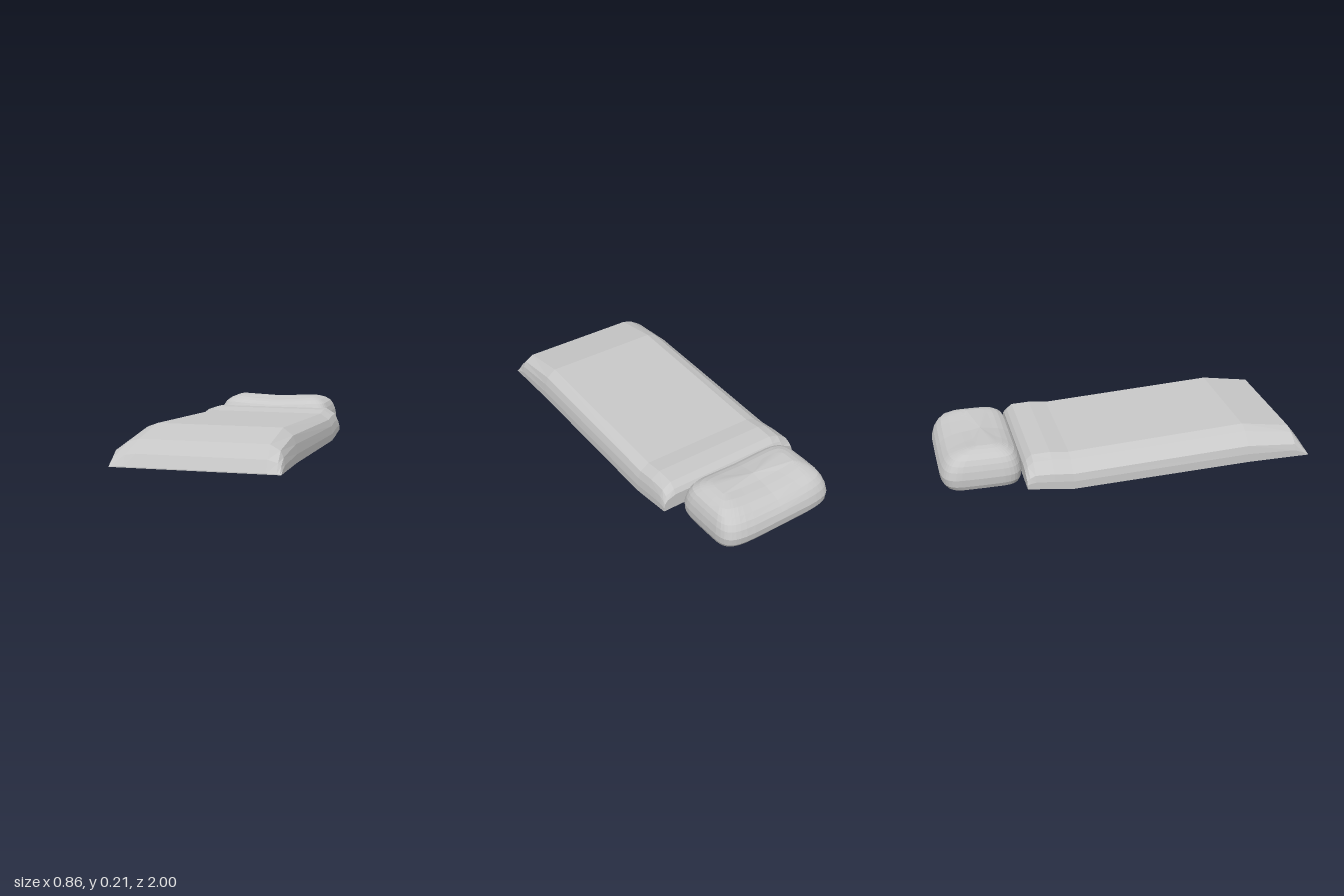
import * as THREE from 'three';

// Skin closed rings (clockwise about the direction of travel) and cap both ends; faceted normals
function loft(rings) {
  const n = rings[0].length, pos = [];
  const tri = (...pts) => pts.forEach(p => pos.push(...p));
  const centre = r => [0, 1, 2].map(k => r.reduce((s, p) => s + p[k], 0) / n);
  const first = rings[0], last = rings[rings.length - 1];
  const c0 = centre(first), c1 = centre(last);
  for (let j = 0; j < n; j++) {
    const k = (j + 1) % n;
    tri(c0, first[j], first[k]);
    tri(c1, last[k], last[j]);
    for (let i = 0; i < rings.length - 1; i++) {
      const a = rings[i], b = rings[i + 1];
      tri(a[j], b[j], a[k]);
      tri(a[k], b[j], b[k]);
    }
  }
  const g = new THREE.BufferGeometry();
  g.setAttribute('position', new THREE.Float32BufferAttribute(pos, 3));
  g.computeVertexNormals();
  return g;
}

export function createModel() {
  const group = new THREE.Group();
  const cloth = new THREE.MeshStandardMaterial({ color: 0xc8c8c8 });
  cloth.name = 'grey cloth';

  const add = (name, geometry) => {
    const mesh = new THREE.Mesh(geometry, cloth);
    mesh.name = name;
    group.add(mesh);
  };

  // Padded bedding: one bevelled section (x, height fraction) swept from foot to head
  const section = [
    [0.427, 0], [0.427, 0.25], [0.42, 0.53], [0.405, 0.78], [0.355, 1],
    [-0.3, 1], [-0.355, 0.88], [-0.42, 0.54], [-0.428, 0.28], [-0.428, 0],
  ];
  const stations = [ // z, top, bottom
    [1, 0.04, 0.035], [0.97, 0.1, 0.035], [0.92, 0.165, 0.035], [0.65, 0.207, 0.034],
    [-0.32, 0.155, 0], [-0.42, 0.167, 0.012], [-0.52, 0.163, 0.025],
    [-0.55, 0.135, 0.029], [-0.565, 0.11, 0.03],
  ];
  add('bedding', loft(stations.map(([z, top, bottom]) =>
    section.map(([x, t]) => [x, bottom + (top - bottom) * t, z]))));

  // Pillow: stacked rounded rectangles, fuller towards the front, with a gentle dip in the middle
  const layers = [ // y, inset
    [0.01, 0.05], [0.018, 0.02], [0.04, 0.005], [0.08, 0], [0.12, 0.012], [0.15, 0.03],
    [0.175, 0.055], [0.195, 0.1], [0.207, 0.15], [0.213, 0.2],
  ];
  const sides = 40;
  const power = v => Math.sign(v) * Math.abs(v) ** 0.36;
  add('pillow', loft(layers.map(([y, inset]) =>
    Array.from({ length: sides }, (_, j) => {
      const a = (j / sides) * Math.PI * 2;
      const c = power(Math.cos(a)), s = power(Math.sin(a));
      const x = c * (0.348 - inset * 0.6);
      const z = -0.78 + s * (0.22 - inset * (s > 0 ? 0.6 : 1));
      const dip = 0.015 * Math.max(0, Math.cos(x * 7)) * Math.max(0, (y - 0.1) / 0.1);
      return [x, y - dip, z];
    }))));

  return group;
}
